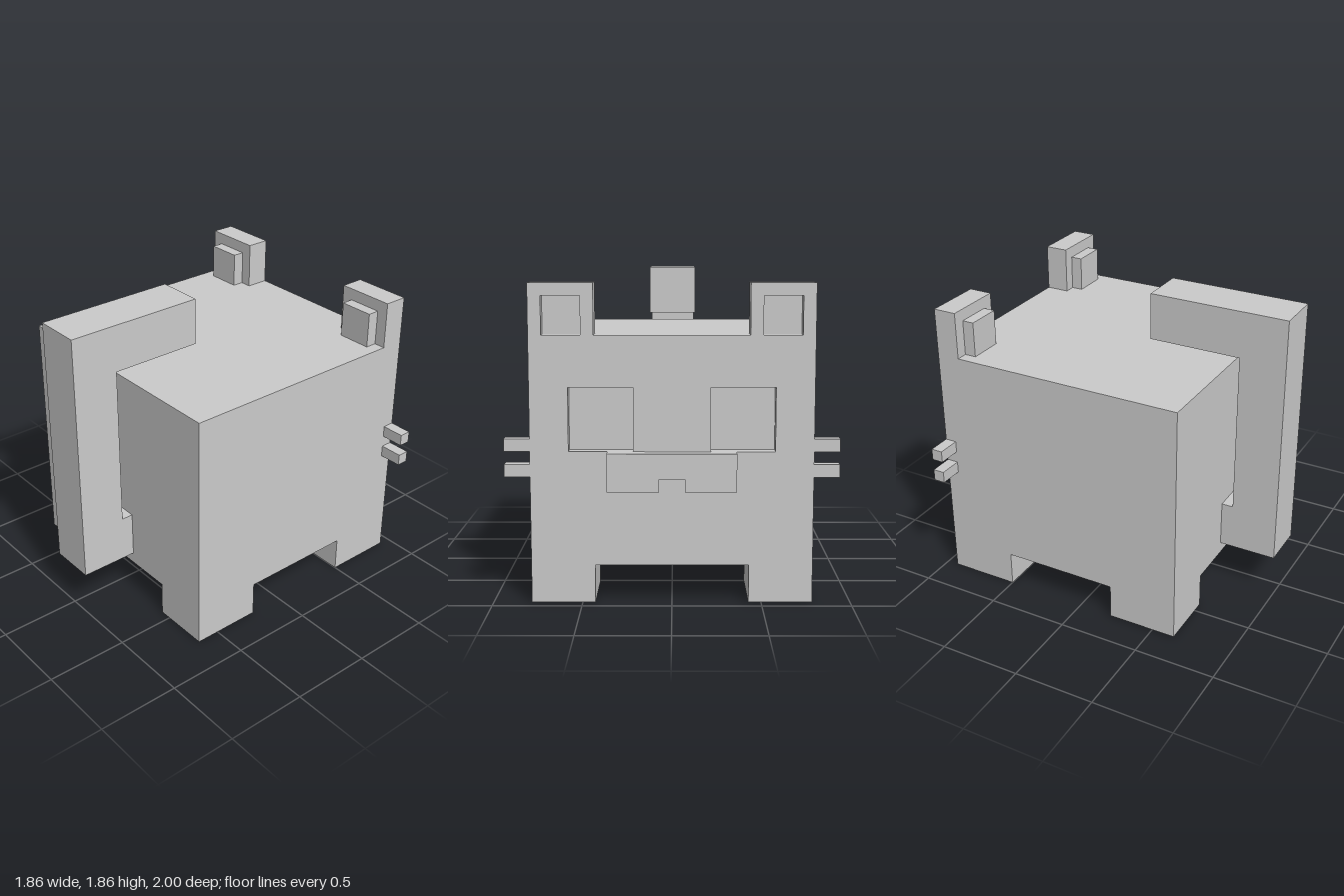
import * as THREE from 'three';

const U = 1 / 14; // one block unit

export function createModel() {
  const model = new THREE.Group();
  const material = new THREE.MeshStandardMaterial({ color: 0xcccccc, flatShading: true });

  const add = (name, geometry) => {
    geometry.scale(U, U, U);
    const mesh = new THREE.Mesh(geometry, material);
    mesh.name = name;
    model.add(mesh);
  };
  // Box between two corners, in block units
  const box = (name, x0, x1, y0, y1, z0, z1) => add(name,
    new THREE.BoxGeometry(x1 - x0, y1 - y0, z1 - z0)
      .translate((x0 + x1) / 2, (y0 + y1) / 2, (z0 + z1) / 2));
  const mirroredBox = (name, x0, x1, ...rest) => {
    box(name + 'Left', x0, x1, ...rest);
    box(name + 'Right', -x1, -x0, ...rest);
  };
  const outline = (points) => new THREE.Shape(points.map(([x, y]) => new THREE.Vector2(x, y)));
  const rect = (x0, x1, y0, y1) => outline([[x0, y0], [x1, y0], [x1, y1], [x0, y1]]);
  const plate = (shape, depth, z) =>
    new THREE.ExtrudeGeometry(shape, { depth, bevelEnabled: false }).translate(0, 0, z);

  // Body and the face plate with recessed eyes
  box('body', -11, 11, 3, 21, -12, 9);
  const face = rect(-11, 11, 3, 21);
  face.holes.push(rect(3, 8, 12, 17), rect(-8, -3, 12, 17));
  add('face', plate(face, 1, -13));

  // Muzzle with a notch for the mouth
  add('muzzle', plate(outline([
    [-5, 9], [-1, 9], [-1, 10], [1, 10], [1, 9], [5, 9], [5, 12], [-5, 12],
  ]), 1, -14));

  // Legs
  mirroredBox('headEndLeg', 6, 11, 0, 3, -13, -7);
  mirroredBox('tailEndLeg', 6, 11, 0, 3, 3, 9);

  // Ears: an open frame, a backing and a raised pad behind
  for (const [side, x] of [['Left', 8.5], ['Right', -8.5]]) {
    const frame = outline([
      [-2.5, 21], [-1.5, 21], [-1.5, 24], [1.5, 24],
      [1.5, 21], [2.5, 21], [2.5, 25], [-2.5, 25],
    ]);
    add('earFrame' + side, plate(frame, 1, -13).translate(x, 0, 0));
    box('earBacking' + side, x - 2.5, x + 2.5, 21, 25, -12, -11);
    box('earPad' + side, x - 1.5, x + 1.5, 21, 24, -11, -10);
  }

  // Whiskers
  mirroredBox('upperWhisker', 11, 13, 12, 13, -13, -12);
  mirroredBox('lowerWhisker', 11, 13, 10, 11, -13, -12);

  // Tail: side profile (z, y) extruded across x
  const tail = outline([
    [9, 4], [14, 4], [14, 26], [2, 26], [2, 22], [10, 22], [10, 8], [9, 8],
  ]);
  add('tail', plate(tail, 4, -2).rotateY(-Math.PI / 2));

  return model;
}
